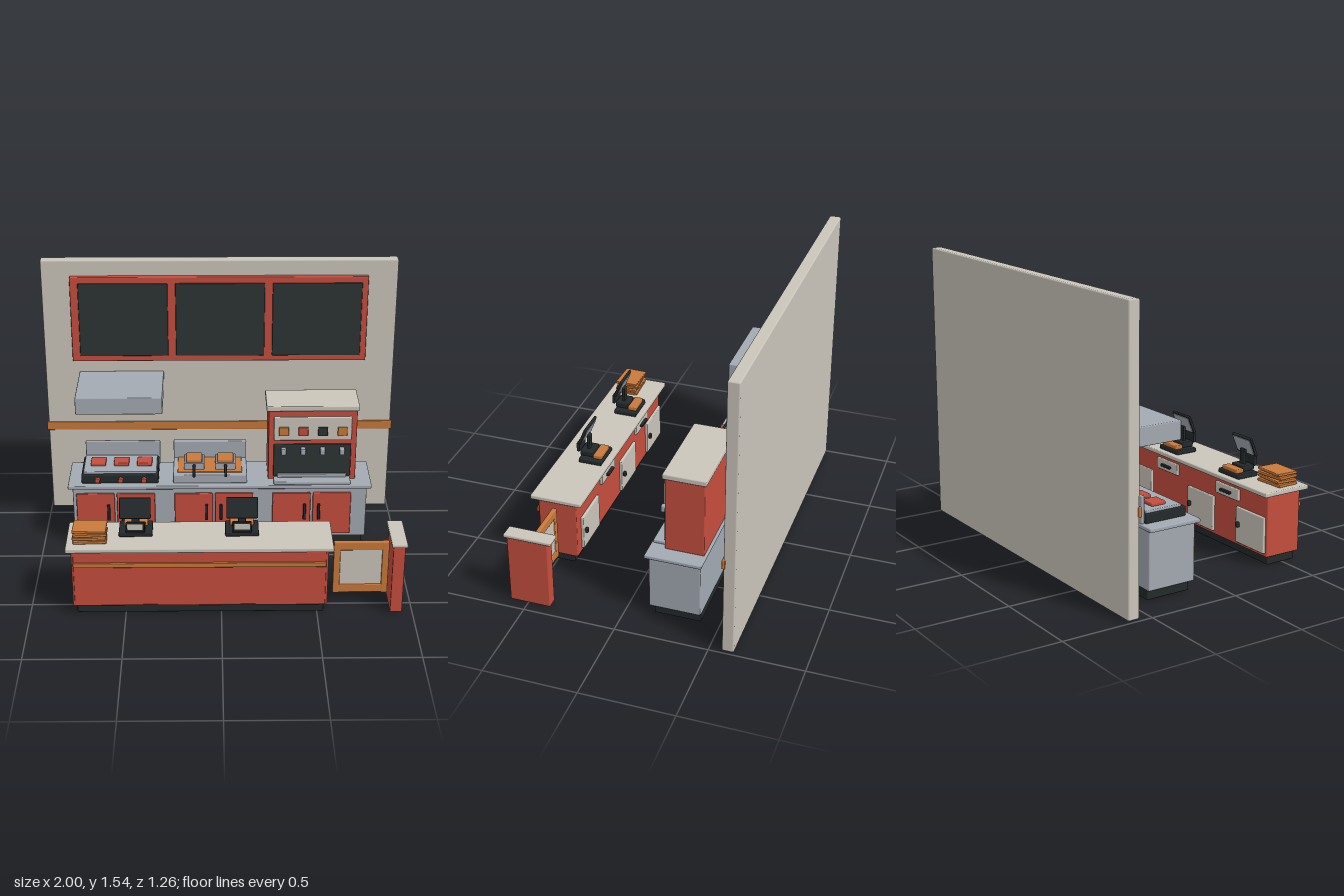
import * as THREE from 'three';
import { RoundedBoxGeometry } from 'three/addons/geometries/RoundedBoxGeometry.js';

const mat = (name, color) => {
  const m = new THREE.MeshStandardMaterial({ color });
  m.name = name;
  return m;
};

export function createModel() {
  const cream = mat('cream', 0xcbc6bb);
  const red = mat('red', 0xc54e3e);
  const orange = mat('orange', 0xc9793a);
  const dark = mat('charcoal', 0x2d3535);
  const black = mat('black', 0x23292b);
  const steel = mat('steel', 0xa3aab2);

  const root = new THREE.Group();
  root.name = 'serviceCounter';
  const group = (name, parent = root) => {
    const g = new THREE.Group();
    g.name = name;
    parent.add(g);
    return g;
  };
  // Softly bevelled box given by its extents on each axis
  const box = (parent, name, m, [x0, x1], [y0, y1], [z0, z1], bevel = 0.006) => {
    const w = x1 - x0, h = y1 - y0, d = z1 - z0;
    const r = Math.min(bevel, Math.min(w, h, d) * 0.3);
    const mesh = new THREE.Mesh(new RoundedBoxGeometry(w, h, d, 1, r), m);
    mesh.position.set((x0 + x1) / 2, (y0 + y1) / 2, (z0 + z1) / 2);
    mesh.name = name;
    parent.add(mesh);
    return mesh;
  };
  const span = (c, size) => [c - size / 2, c + size / 2];

  // Back wall with trim strip
  const wall = group('backWall');
  box(wall, 'wallPanel', cream, [-0.99, 0.99], [0.005, 1.545], [-0.63, -0.567], 0.008);
  box(wall, 'wallTrim', orange, [-1, 1], [0.513, 0.565], [-0.577, -0.56]);

  // Menu board
  const board = group('menuBoard');
  box(board, 'boardFrame', red, [-0.83, 0.825], [0.957, 1.458], [-0.567, -0.533]);
  for (const x of [-0.537, 0.003, 0.543])
    box(board, 'boardScreen', dark, span(x, 0.497), [0.992, 1.423], [-0.54, -0.524]);

  // Extractor hood
  box(root, 'extractorHood', steel, [-0.797, -0.318], [0.783, 0.883], [-0.568, -0.192]);

  // Back counter
  const back = group('backCounter');
  box(back, 'plinth', black, [-0.81, 0.805], [0, 0.055], [-0.4, -0.15]);
  box(back, 'cabinetBody', steel, [-0.825, 0.82], [0.05, 0.362], [-0.4, -0.125]);
  box(back, 'worktop', steel, [-0.85, 0.845], [0.36, 0.382], [-0.41, -0.108]);
  for (const c of [-0.585, -0.036, 0.512])
    for (const s of [-1, 1]) {
      box(back, 'cabinetDoor', red, span(c + s * 0.113, 0.214), [0.072, 0.332], [-0.127, -0.11]);
      box(back, 'doorHandle', black, span(c + s * 0.04, 0.016), [0.17, 0.268], [-0.112, -0.094]);
    }

  // Grill with patties and knobs
  const grill = group('grill');
  box(grill, 'grillBase', black, [-0.775, -0.345], [0.38, 0.432], [-0.385, -0.145]);
  box(grill, 'grillPlate', steel, [-0.765, -0.355], [0.428, 0.445], [-0.375, -0.165]);
  box(grill, 'grillSplash', steel, [-0.765, -0.34], [0.38, 0.525], [-0.405, -0.385]);
  for (const x of [-0.685, -0.555, -0.425]) {
    box(grill, 'patty', red, span(x, 0.085), [0.443, 0.463], span(-0.275, 0.085));
    const knob = new THREE.Mesh(new THREE.CylinderGeometry(0.014, 0.014, 0.022, 12), red);
    knob.rotation.x = Math.PI / 2;
    knob.position.set(x, 0.407, -0.136);
    knob.name = 'grillKnob';
    grill.add(knob);
  }

  // Fryer with two baskets
  const fryer = group('fryer');
  box(fryer, 'fryerBase', steel, [-0.263, 0.15], [0.38, 0.432], [-0.39, -0.143]);
  box(fryer, 'fryerOil', orange, [-0.238, 0.122], [0.428, 0.437], [-0.36, -0.175]);
  box(fryer, 'fryerSplash', steel, [-0.263, 0.15], [0.38, 0.535], [-0.39, -0.36]);
  for (const x of [-0.146, 0.03]) {
    for (const s of [-1, 1]) {
      box(fryer, 'basketSide', steel, span(x + s * 0.051, 0.012), [0.432, 0.475], [-0.325, -0.203]);
      box(fryer, 'basketEnd', steel, span(x, 0.1), [0.432, 0.475], span(-0.264 + s * 0.055, 0.012));
    }
    box(fryer, 'fries', orange, span(x, 0.09), [0.432, 0.49], [-0.312, -0.216]);
    box(fryer, 'basketHandle', black, span(x, 0.016), [0.454, 0.47], [-0.208, -0.072]);
  }

  // Drinks dispenser
  const drinks = group('drinksDispenser');
  box(drinks, 'dispenserBody', red, [0.268, 0.758], [0.38, 0.803], [-0.4, -0.19]);
  box(drinks, 'dispenserCap', cream, [0.255, 0.768], [0.803, 0.834], [-0.41, -0.18]);
  box(drinks, 'flavourPanel', cream, [0.297, 0.728], [0.628, 0.77], [-0.195, -0.175]);
  box(drinks, 'dispenserRecess', dark, [0.297, 0.728], [0.405, 0.602], [-0.195, -0.178]);
  box(drinks, 'dripTray', steel, [0.298, 0.727], [0.38, 0.4], [-0.19, -0.117]);
  box(drinks, 'dripStep', steel, [0.32, 0.705], [0.4, 0.425], [-0.185, -0.17]);
  [orange, red, dark, orange].forEach((m, i) => {
    const x = 0.352 + i * 0.108;
    box(drinks, 'flavourButton', m, span(x, 0.054), [0.66, 0.713], [-0.178, -0.165]);
    box(drinks, 'nozzle', steel, span(x, 0.028), [0.55, 0.588], [-0.18, -0.145]);
  });

  // Front counter
  const front = group('frontCounter');
  box(front, 'plinth', black, [-0.755, 0.535], [0, 0.055], [0.4, 0.575]);
  box(front, 'counterBody', red, [-0.775, 0.552], [0.05, 0.39], [0.377, 0.592]);
  box(front, 'frontPanel', red, [-0.765, 0.54], [0.06, 0.375], [0.585, 0.598]);
  box(front, 'frontTrim', orange, [-0.765, 0.54], [0.29, 0.316], [0.595, 0.61]);
  box(front, 'counterTop', cream, [-0.8, 0.575], [0.388, 0.413], [0.342, 0.629]);

  // Staff-side doors and drawers
  for (const x of [0.375, -0.21, -0.645]) {
    box(front, 'staffDoor', cream, span(x, 0.235), [0.07, 0.268], [0.362, 0.38]);
    box(front, 'staffDoorKnob', black, span(x + 0.09, 0.02), [0.16, 0.19], [0.345, 0.364]);
  }
  for (const x of [0.105, -0.445]) {
    box(front, 'drawer', cream, span(x, 0.2), [0.298, 0.362], [0.362, 0.38]);
    box(front, 'drawerPull', black, span(x, 0.085), [0.323, 0.338], [0.345, 0.364]);
  }

  // Registers
  for (const x of [0.107, -0.444]) {
    const reg = group('register');
    box(reg, 'registerBase', black, span(x, 0.174), [0.412, 0.438], [0.373, 0.505]);
    box(reg, 'registerKeys', orange, span(x, 0.125), [0.436, 0.46], [0.38, 0.43]);
    box(reg, 'registerStand', black, span(x, 0.04), [0.435, 0.55], [0.463, 0.48]);
    box(reg, 'printer', black, span(x, 0.1), [0.436, 0.468], [0.435, 0.51]);
    box(reg, 'customerDisplay', black, span(x, 0.096), [0.455, 0.51], [0.513, 0.53]);
    box(reg, 'customerDisplayFace', cream, span(x, 0.08), [0.47, 0.503], [0.528, 0.533]);
    const screen = group('registerScreen', reg);
    box(screen, 'screenCase', black, span(0, 0.162), span(0, 0.11), span(0, 0.016));
    box(screen, 'screenFace', steel, span(0, 0.14), span(0, 0.09), [-0.011, -0.007]);
    screen.position.set(x, 0.571, 0.482);
    screen.rotation.x = -0.38;
  }

  // Stack of serving trays
  const trays = group('trayStack');
  [0.04, -0.05, 0.07, -0.03].forEach((turn, i) => {
    const t = box(trays, 'tray', orange, span(-0.678, 0.174), span(0.421 + i * 0.02, 0.015), span(0.517, 0.125));
    t.rotation.y = turn;
  });

  // Swing gate and end post
  const gate = group('gate');
  for (const x of [0.604, 0.858])
    box(gate, 'gateStile', orange, span(x, 0.036), [0.062, 0.37], [0.471, 0.498]);
  for (const y of [0.09, 0.345])
    box(gate, 'gateRail', orange, [0.6, 0.865], span(y, 0.05), [0.472, 0.497]);
  box(gate, 'gatePanel', cream, [0.615, 0.845], [0.11, 0.325], [0.477, 0.492]);
  const post = group('endPost');
  box(post, 'postBody', red, [0.882, 0.945], [0.005, 0.403], [0.375, 0.598]);
  box(post, 'postCap', cream, [0.873, 0.955], [0.4, 0.42], [0.352, 0.612]);

  return root;
}
